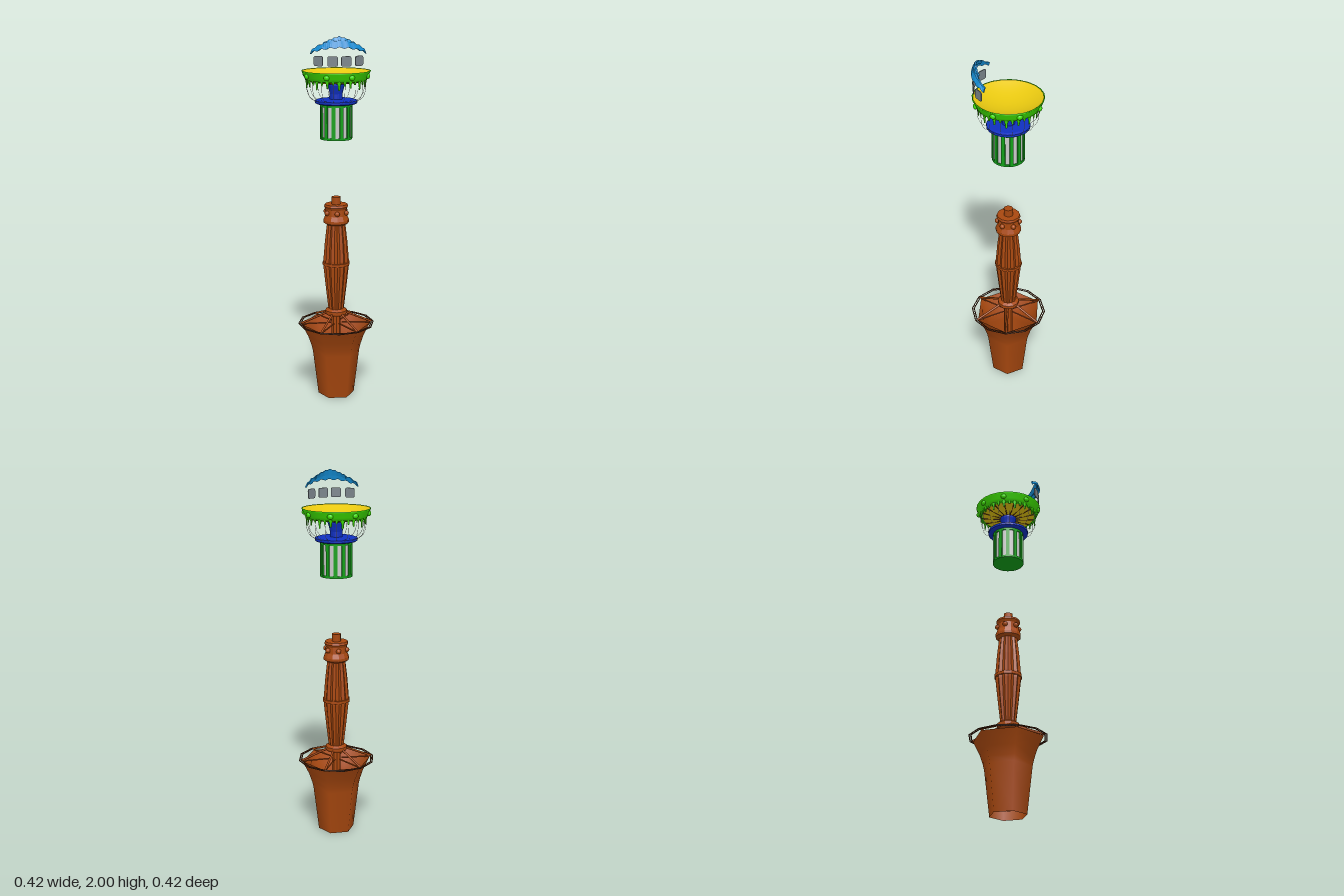
import * as THREE from 'three';
import { mergeVertices } from 'three/addons/utils/BufferGeometryUtils.js';

const mat = (color, opts = {}) => new THREE.MeshStandardMaterial({ color, ...opts });
const BOTH = { side: THREE.DoubleSide };
const BROWN = 0xa8480f, LIME = 0x3ee000, GREEN = 0x12a018, BLUE = 0x1030c0,
  SKY = 0x1590d8, YELLOW = 0xe8c810, GREY = 0xcccccc, DARK = 0x5a2a10;

export function createModel() {
  const model = new THREE.Group();
  const add = (name, geo, material, parent = model) => {
    const m = new THREE.Mesh(geo, material);
    m.name = name;
    parent.add(m);
    return m;
  };
  const group = (name) => {
    const g = new THREE.Group();
    g.name = name;
    model.add(g);
    return g;
  };
  const lathe = (pts, sides, start = 0) =>
    new THREE.LatheGeometry(pts.map(([r, y]) => new THREE.Vector2(r, y)), sides, start);
  // Point at angle a (0 = +z), radius r, height y
  const polar = (a, r, y) => new THREE.Vector3(Math.sin(a) * r, y, Math.cos(a) * r);
  const bar = (name, a, b, r, material, parent) => {
    const d = b.clone().sub(a);
    const m = add(name, new THREE.CylinderGeometry(r, r, d.length(), 6), material, parent);
    m.position.copy(a).add(b).multiplyScalar(0.5);
    m.quaternion.setFromUnitVectors(new THREE.Vector3(0, 1, 0), d.normalize());
    return m;
  };
  const brown = mat(BROWN), brownFlat = mat(BROWN, { flatShading: true });
  const rail = mat(DARK);

  // Hexagonal flared pot, open at both ends
  add('pot', lathe([[0.1, 0], [0.13, 0.25], [0.138, 0.285], [0.155, 0.335], [0.192, 0.41]], 6, Math.PI / 2),
    mat(BROWN, BOTH));

  // Post and its sloping stays
  add('post', new THREE.CylinderGeometry(0.025, 0.025, 0.47, 8).translate(0, 0.265, 0), brownFlat);
  add('postCollar', lathe([[0, 0.465], [0.055, 0.465], [0.06, 0.475], [0.06, 0.49], [0.045, 0.5], [0, 0.5]], 12), brownFlat);
  const stays = group('stays');
  for (let i = 0; i < 6; i++) {
    const a = Math.PI / 2 + i * Math.PI / 3;
    bar('stay', polar(a, 0.04, 0.48), polar(a, 0.198, 0.415), 0.006, brown, stays);
    bar('innerBrace', polar(a, 0.03, 0.415), polar(a, 0.185, 0.412), 0.004, brown, stays);
  }

  // Twelve-sided walkway ring: two rails with rungs
  const ring = group('walkway');
  for (const r of [0.198, 0.209]) for (let i = 0; i < 12; i++)
    bar('rail', polar(i * Math.PI / 6, r, 0.415), polar((i + 1) * Math.PI / 6, r, 0.415), 0.0028, rail, ring);
  for (let i = 0; i < 12; i++) for (let k = 0; k < 7; k++) {
    const at = (r) => polar(i * Math.PI / 6, r, 0.415).lerp(polar((i + 1) * Math.PI / 6, r, 0.415), k / 7);
    bar('rung', at(0.198), at(0.209), 0.0015, rail, ring);
  }

  // Fluted shaft: every second edge pulled inward
  const shaft = mergeVertices(lathe([[0.043, 0.5], [0.057, 0.62], [0.07, 0.74], [0.07, 0.78], [0.062, 0.88], [0.05, 0.985]], 24)
    .deleteAttribute('normal').deleteAttribute('uv'), 1e-5);
  const p = shaft.attributes.position;
  for (let i = 0; i < p.count; i++) {
    const k = Math.round(Math.atan2(p.getX(i), p.getZ(i)) / (Math.PI / 12));
    if (k % 2) p.setXYZ(i, p.getX(i) * 0.86, p.getY(i), p.getZ(i) * 0.86);
  }
  shaft.computeVertexNormals();
  add('shaft', shaft, brownFlat);
  add('shaftBand', lathe([[0.06, 0.752], [0.075, 0.752], [0.075, 0.768], [0.06, 0.768]], 12), brownFlat);

  // Shaft head with knobs and a stub
  add('head', lathe([[0, 0.98], [0.055, 0.98], [0.07, 0.99], [0.07, 1.005], [0.06, 1.03], [0.058, 1.065],
    [0.066, 1.08], [0.062, 1.092], [0, 1.092]], 12), brownFlat);
  const knobs = group('knobs');
  for (let i = 0; i < 6; i++)
    add('knob', new THREE.SphereGeometry(0.014, 10, 8), brown, knobs).position.copy(polar(i * Math.PI / 3, 0.06, 1.047));
  add('stub', new THREE.CylinderGeometry(0.025, 0.025, 0.05, 12).translate(0, 1.107, 0), brown);

  // Drum with grey panels between green bars
  const green = mat(GREEN);
  add('drumPanels', new THREE.CylinderGeometry(0.08, 0.08, 0.18, 32).translate(0, 1.543, 0), mat(GREY));
  for (const y of [1.455, 1.63])
    add('drumHoop', new THREE.CylinderGeometry(0.086, 0.086, 0.012, 32).translate(0, y, 0), green);
  const bars = group('drumBars');
  for (let i = 0; i < 12; i++) {
    const b = add('drumBar', new THREE.BoxGeometry(0.02, 0.18, 0.012), green, bars);
    b.position.copy(polar((i + 0.5) * Math.PI / 6, 0.08, 1.543));
    b.rotation.y = (i + 0.5) * Math.PI / 6;
  }

  // Blue flange and flaring column
  const blue = mat(BLUE, { flatShading: true });
  add('flange', lathe([[0, 1.637], [0.105, 1.637], [0.113, 1.642], [0.113, 1.655], [0.1, 1.66], [0, 1.662]], 20), blue);
  add('column', lathe([[0.034, 1.66], [0.034, 1.69], [0.04, 1.715], [0.046, 1.735], [0.046, 1.765]], 16), blue);

  // Lime rim, yellow dish and yellow underside with ribs
  add('rim', lathe([[0.148, 1.76], [0.163, 1.765], [0.17, 1.78], [0.181, 1.806], [0.184, 1.812], [0.178, 1.812]], 24),
    mat(LIME, BOTH));
  const dish = [];
  for (let i = 0; i <= 10; i++) dish.push([0.181 * i / 10, 1.762 + 0.048 * (i / 10) ** 2]);
  add('dish', lathe(dish, 32), mat(YELLOW, BOTH));
  add('underside', lathe([[0.04, 1.745], [0.1, 1.75], [0.155, 1.764]], 24), mat(YELLOW, BOTH));
  const ribs = group('undersideRibs');
  for (let i = 0; i < 16; i++)
    bar('rib', polar(i * Math.PI / 8, 0.045, 1.744), polar(i * Math.PI / 8, 0.155, 1.761), 0.003, rail, ribs);

  // Eight bosses and a hem of uneven drips
  const lime = mat(LIME);
  const trim = group('rimTrim');
  for (let i = 0; i < 8; i++) {
    const a = (i + 0.5) * Math.PI / 4;
    const b = add('boss', new THREE.SphereGeometry(0.016, 10, 8), lime, trim);
    b.position.copy(polar(a, 0.174, 1.787));
    b.scale.set(1, 0.9, 0.7);
    b.rotation.y = a;
  }
  const lengths = [0.05, 0.028, 0.04, 0.022];
  for (let i = 0; i < 32; i++) {
    const a = i * Math.PI / 16, l = lengths[i % 4];
    const d = add('drip', lathe([[0, -l], [0.005, -l + 0.003], [0.0055, -l + 0.008], [0.006, -l * 0.5], [0.017, 0.004]], 8), lime, trim);
    d.position.copy(polar(a, 0.157, 1.77));
    d.rotation.y = a;
    d.scale.z = 0.5;
  }

  // Thin lines slung from rim to flange
  const lines = group('slungLines');
  for (let i = 0; i < 16; i++) {
    const a = (i + 0.5) * Math.PI / 8;
    const path = new THREE.CatmullRomCurve3([polar(a, 0.158, 1.76), polar(a, 0.155, 1.705), polar(a, 0.14, 1.67), polar(a, 0.11, 1.65)]);
    add('line', new THREE.TubeGeometry(path, 12, 0.001, 4), mat(GREY), lines);
  }

  // Four curved-row windows with rounded corners
  const windows = group('windows');
  const pane = (w, h, r) => {
    const s = new THREE.Shape();
    for (const [x, y, a] of [[1, 1, 0], [-1, 1, 1], [-1, -1, 2], [1, -1, 3]])
      s.absarc(x * (w / 2 - r), y * (h / 2 - r), r, a * Math.PI / 2, (a + 1) * Math.PI / 2);
    return s;
  };
  for (const deg of [-37, -11.5, 11.5, 37]) {
    const a = deg * Math.PI / 180;
    const w = add('window', new THREE.ExtrudeGeometry(pane(0.054, 0.052, 0.01),
      { depth: 0.005, bevelEnabled: false, curveSegments: 4 }), mat(0x7c868c), windows);
    w.position.copy(polar(a, 0.172, 1.873));
    w.rotation.y = a;
  }

  // Wavy curved canopy, built as a closed band of four-cornered sections
  const canopy = (name, half, section) => {
    const pos = [], idx = [], N = 40;
    for (let i = 0; i <= N; i++) {
      const u = i / N * 2 - 1;
      for (const [r, y] of section(u)) pos.push(...polar(u * half, r, y).toArray());
      if (i < N) for (let k = 0; k < 4; k++) {
        const a = i * 4 + k, b = i * 4 + (k + 1) % 4;
        idx.push(a, a + 4, b, b, a + 4, b + 4);
      }
    }
    const e = N * 4;
    idx.push(0, 1, 2, 0, 2, 3, e, e + 2, e + 1, e, e + 3, e + 2);
    const g = new THREE.BufferGeometry();
    g.setAttribute('position', new THREE.Float32BufferAttribute(pos, 3));
    g.setIndex(idx);
    g.computeVertexNormals();
    add(name, g, mat(SKY, { flatShading: true, ...BOTH }));
  };
  canopy('canopy', 0.91, (u) => {
    const low = 1.942 - 0.03 * u * u + 0.004 * Math.cos(u * 22);
    const high = 1.978 - 0.05 * u * u + 0.003 * Math.cos(u * 26);
    return [[0.185, low], [0.174, high], [0.166, high], [0.175, low]];
  });
  canopy('canopyCrest', 0.52, (u) => {
    const low = 1.965 - 0.018 * u * u;
    const high = 2 - 0.032 * Math.abs(u) ** 1.3 - 0.002 * (1 - Math.cos(u * 20));
    return [[0.175, low], [0.163, high], [0.155, high], [0.165, low]];
  });
  return model;
}
